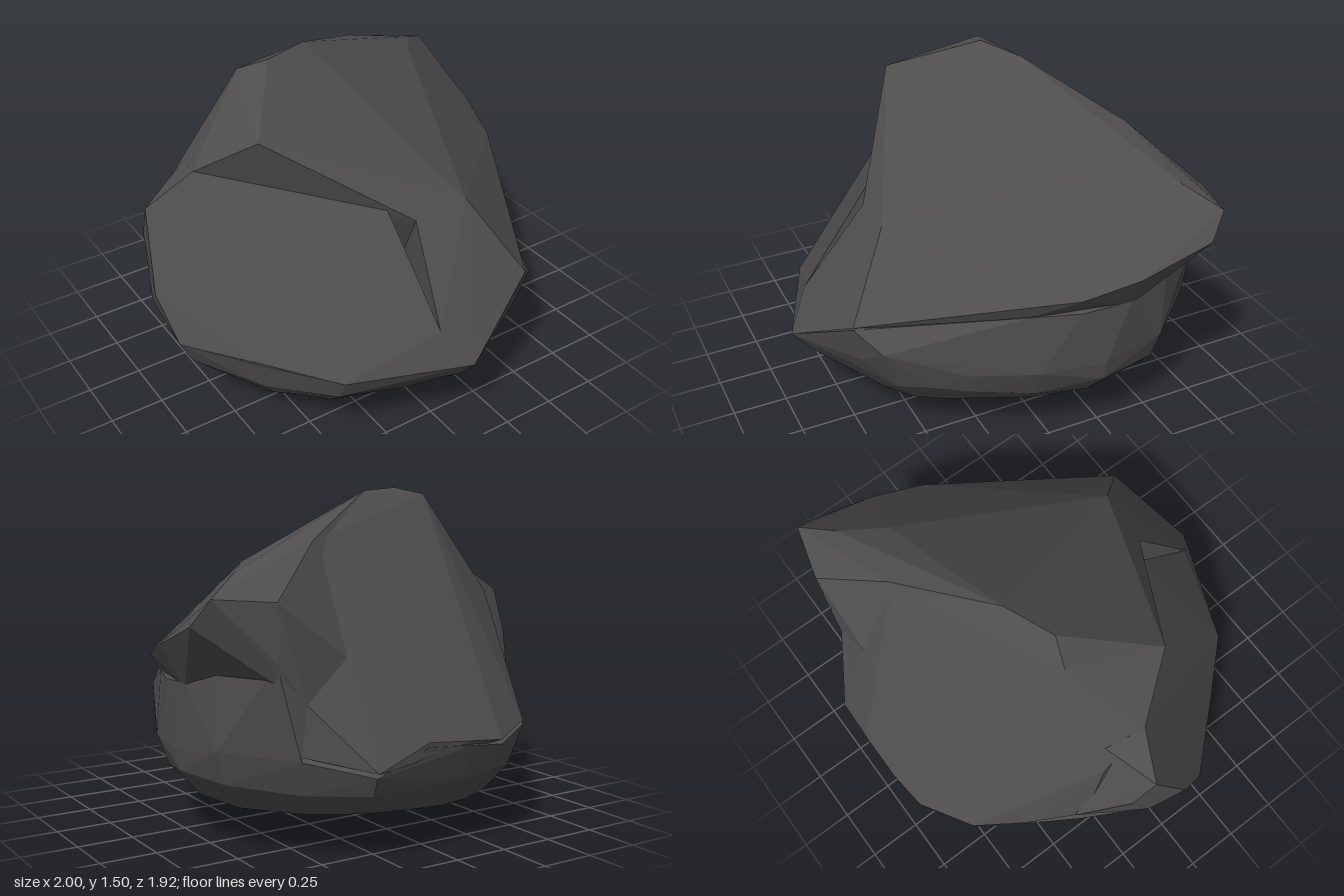
import * as THREE from 'three';
import { ConvexGeometry } from 'three/addons/geometries/ConvexGeometry.js';

const stone = new THREE.MeshStandardMaterial({ color: 0x4f4d4d, flatShading: true, roughness: 0.95 });
const vec = (p) => new THREE.Vector3(...p);

// A chipped block: the convex solid around its corner points
function block(name, points) {
  const mesh = new THREE.Mesh(new ConvexGeometry(points), stone);
  mesh.name = name;
  return mesh;
}

// Widest outline of the underside, and the matching lower outline
const rim = [
  [-0.97, 0.46, 0.2], [-0.72, 0.42, 0.48], [-0.47, 0.39, 0.75], [-0.05, 0.56, 0.85],
  [0.06, 0.40, 0.96], [0.46, 0.63, 0.8], [0.57, 0.54, 0.71], [0.64, 0.47, 0.54],
  [0.71, 0.42, 0.38], [0.83, 0.42, 0.1], [0.88, 0.42, -0.2], [0.84, 0.46, -0.5],
  [0.6, 0.44, -0.76], [0.36, 0.38, -0.94], [0.12, 0.48, -0.96], [-0.1, 0.46, -0.96],
  [-0.28, 0.44, -0.94], [-0.52, 0.47, -0.8], [-0.66, 0.5, -0.6], [-0.8, 0.52, -0.38], [-0.95, 0.52, -0.1],
];
const lower = [
  [-0.77, 0.2, 0.14], [-0.62, 0.15, 0.38], [-0.42, 0.14, 0.56], [-0.12, 0.17, 0.7],
  [0.06, 0.2, 0.73], [0.36, 0.21, 0.64], [0.47, 0.2, 0.55], [0.54, 0.19, 0.42],
  [0.6, 0.19, 0.28], [0.69, 0.19, 0.08], [0.76, 0.2, -0.18], [0.7, 0.19, -0.43],
  [0.5, 0.18, -0.63], [0.3, 0.18, -0.75], [0.1, 0.17, -0.77], [-0.1, 0.16, -0.77],
  [-0.26, 0.16, -0.74], [-0.45, 0.15, -0.63], [-0.56, 0.14, -0.48], [-0.66, 0.13, -0.3], [-0.77, 0.19, -0.08],
];
const sole = [
  [-0.55, 0.0, -0.1], [-0.35, 0.015, 0.12], [-0.5, 0.02, -0.38], [-0.3, 0.03, -0.4], [-0.68, 0.08, 0.1],
  [-0.35, 0.06, 0.45], [-0.1, 0.07, 0.1], [-0.05, 0.09, -0.4], [0.2, 0.155, 0.2], [0.2, 0.155, -0.4],
];

// Small bulging facets halfway between rim and lower outline
const skirt = [...rim, ...lower].map(vec);
rim.forEach((p, i) => {
  const mid = vec(p).lerp(vec(lower[i]), 0.52 + 0.1 * Math.sin(i * 2.3));
  mid.x *= 1.045;
  mid.z *= 1.045;
  skirt.push(mid);
});

// Peak, hooked brow, broad front slope and smooth back slope
const mainPoints = [
  [-0.28, 1.5, -0.15], [-0.05, 1.49, -0.24], [-0.41, 1.47, -0.2], [-0.27, 1.42, -0.02],
  [-0.55, 1.34, 0.22], [-0.11, 1.14, 0.41], [0.01, 0.95, 0.57], [0.46, 0.64, 0.8],
  [0.27, 0.98, 0.58], [0.2, 1.32, -0.18], [0.17, 1.4, -0.33], [0.4, 1.29, -0.52],
  [0.38, 0.84, -0.75], [0.58, 0.67, -0.77], [0.6, 0.46, -0.76], [0.36, 0.4, -0.95], [0.12, 0.5, -0.96],
  [-0.1, 0.48, -0.96], [-0.28, 0.46, -0.94], [-0.52, 0.49, -0.8], [-0.66, 0.52, -0.6],
  [-0.8, 0.58, -0.36], [-0.76, 1.0, -0.24], [-0.74, 1.15, -0.02], [0.57, 0.54, 0.71], [0.7, 0.45, 0.38],
];

// Lower part of the front slope, ending in the forward point
const toePoints = [
  [0.01, 0.95, 0.57], [-0.05, 0.56, 0.85], [0.06, 0.4, 0.96],
  [0.46, 0.64, 0.8], [0.27, 0.98, 0.58], [0.2, 1.0, 0.2], [0.1, 0.4, 0.1],
];

// Ridge running out to the overhanging corner
const ridgePoints = [
  [-0.05, 1.49, -0.24], [0.2, 1.32, -0.18], [0.17, 1.4, -0.33], [0.4, 1.3, -0.53], [0.65, 1.21, -0.37],
  [0.79, 1.18, -0.56], [0.95, 1.1, -0.68], [1.0, 0.99, -0.6], [0.98, 0.88, -0.28],
  [0.92, 0.81, -0.04], [0.8, 0.71, 0.13], [0.63, 0.65, 0.42], [0.46, 0.64, 0.8],
  [0.27, 0.98, 0.58], [0.7, 1.08, -0.75], [0.7, 0.84, -0.75], [0.38, 0.84, -0.75],
  [0.58, 0.67, -0.77], [0.88, 0.7, -0.3], [0.3, 0.6, -0.5],
];

// Side wall tucked under the ridge
const cheekPoints = [
  [0.83, 0.42, 0.1], [0.88, 0.42, -0.2], [0.84, 0.46, -0.5], [0.86, 0.7, -0.08],
  [0.89, 0.72, -0.3], [0.79, 0.7, 0.13], [0.64, 0.47, 0.54], [0.63, 0.64, 0.42],
  [0.57, 0.54, 0.71], [0.46, 0.63, 0.8], [0.71, 0.42, 0.38], [0.6, 0.44, -0.76],
  [0.58, 0.67, -0.77], [0.7, 0.84, -0.74], [0.84, 0.85, -0.5], [0.2, 0.6, 0],
];

// Slab split off the front, set back behind the crease
const slabPoints = [
  [-0.74, 1.15, -0.02], [-0.09, 1.0, 0.5], [-0.05, 0.56, 0.85], [-0.47, 0.39, 0.75],
  [-0.72, 0.43, 0.48], [-0.97, 0.46, 0.2], [-1.0, 0.65, 0.06], [-0.94, 0.99, -0.1],
  [-0.92, 0.8, -0.2], [-0.78, 0.58, -0.4], [-0.95, 0.5, -0.1], [-0.7, 1.1, -0.2], [0.0, 0.5, 0.3],
];

export function createModel() {
  const rock = new THREE.Group();
  rock.name = 'rock';
  rock.add(
    block('deepUnderside', [...skirt.filter((p) => p.x < 0.4), ...sole.map(vec)]),
    block('shallowUnderside', skirt.filter((p) => p.x > 0)),
    block('mainBoulder', mainPoints.map(vec)),
    block('frontToe', toePoints.map(vec)),
    block('overhangingRidge', ridgePoints.map(vec)),
    block('sideCheek', cheekPoints.map(vec)),
    block('frontSlab', slabPoints.map(vec)),
  );
  return rock;
}
